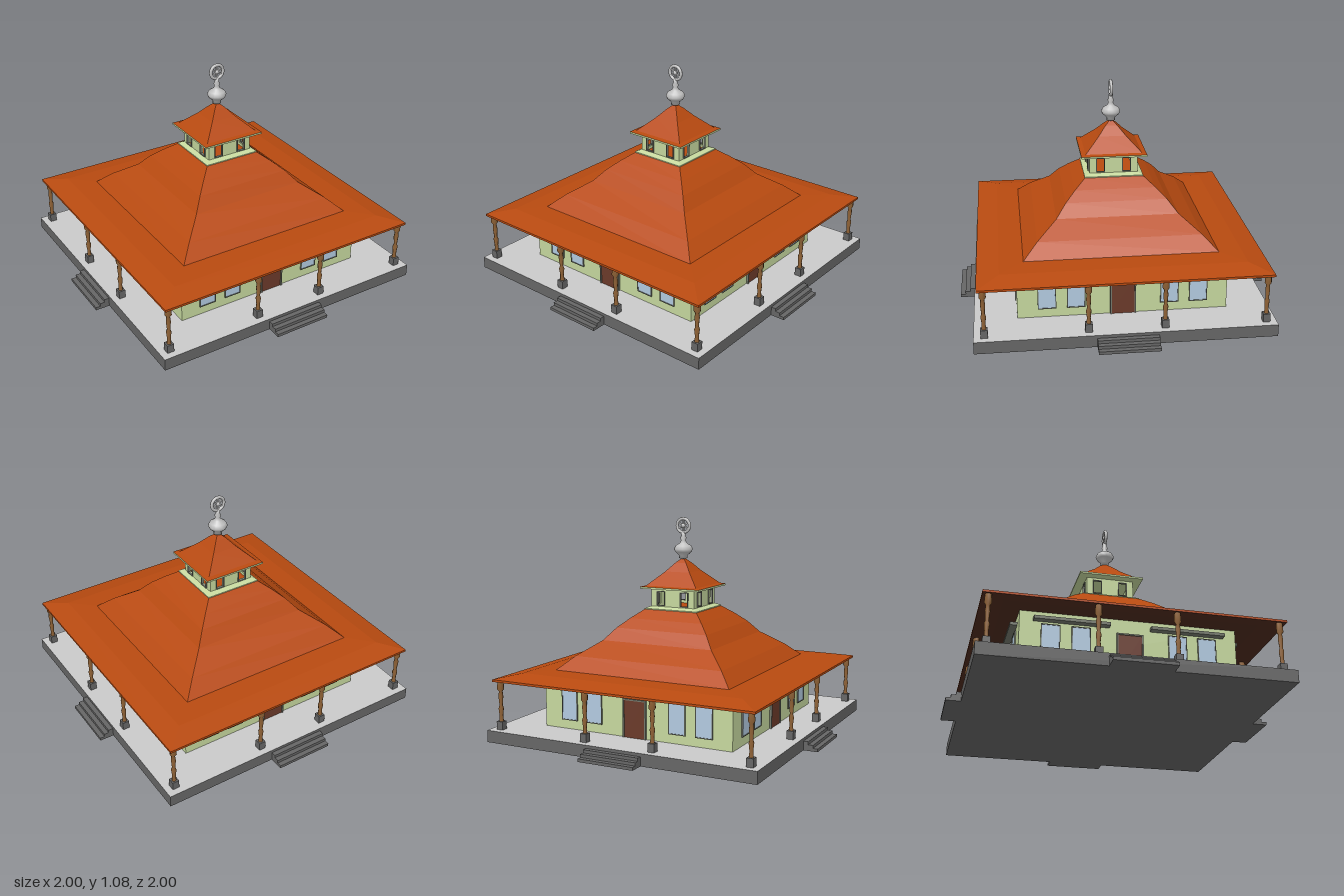
import * as THREE from 'three';

const mat = (name, color) => {
  const m = new THREE.MeshStandardMaterial({ color });
  m.name = name;
  return m;
};

export function createModel() {
  const tile = mat('roof tile', 0xb84a10);
  const wall = mat('green plaster', 0xc6d89e);
  const doorWood = mat('door wood', 0x6b3a2a);
  const lining = mat('eave lining', 0x4e2a1e);
  const glass = mat('window glass', 0xb2cae0);
  const wood = mat('post wood', 0x8f6236);
  const stone = mat('dark stone', 0x666666);
  const floor = mat('floor slab', 0xcacaca);
  const silver = mat('silver', 0xc0c0c0);
  const frame = mat('frame grey', 0x74786c);

  const model = new THREE.Group();
  model.name = 'pavilion';
  const house = new THREE.Group();
  house.name = 'house';
  house.rotation.y = -0.6435;
  model.add(house);

  const add = (parent, name, geo, material, x = 0, y = 0, z = 0) => {
    const m = new THREE.Mesh(geo, material);
    m.name = name;
    m.position.set(x, y, z);
    parent.add(m);
    return m;
  };
  const box = (parent, name, w, h, d, material, x, y, z) =>
    add(parent, name, new THREE.BoxGeometry(w, h, d), material, x, y, z);

  // Square, flat-faced shell from [half width, height] pairs
  const squareShell = (profile) => {
    const pts = profile.map(([r, y]) => new THREE.Vector2(r * Math.SQRT2, y));
    const g = new THREE.LatheGeometry(pts, 4, Math.PI / 4).toNonIndexed();
    g.computeVertexNormals();
    return g;
  };
  const lathe = (profile, n) =>
    new THREE.LatheGeometry(profile.map(([r, y]) => new THREE.Vector2(r, y)), n);

  // Platform and building core
  add(house, 'platform', new THREE.BoxGeometry(1.428, 0.06, 1.428),
    [stone, stone, floor, stone, stone, stone], 0, 0.03, 0);
  box(house, 'mainWalls', 1.014, 0.262, 1.014, wall, 0, 0.191, 0);

  // Sweeping main roof with a wide, shallow eave
  add(house, 'mainRoof', squareShell([
    [0.692, 0.3], [0.692, 0.311], [0.585, 0.334], [0.47, 0.338], [0.4, 0.403],
    [0.3, 0.475], [0.25, 0.535], [0.2, 0.58], [0.145, 0.623], [0.1, 0.63], [0, 0.63],
  ]), tile);
  add(house, 'eaveLining', squareShell([[0.48, 0.319], [0.59, 0.319], [0.692, 0.3]]), lining);

  // Turned veranda post on a stone block
  const postProfile = [
    [0.011, 0.1], [0.009, 0.13], [0.013, 0.165], [0.008, 0.18], [0.012, 0.225],
    [0.009, 0.25], [0.017, 0.262], [0.015, 0.3], [0.013, 0.312],
  ];
  const postGeo = lathe(postProfile, 8);
  const addPost = (parent, x, z) => {
    const post = new THREE.Group();
    post.name = 'verandaPost';
    post.position.set(x, 0, z);
    parent.add(post);
    box(post, 'postBase', 0.034, 0.042, 0.034, stone, 0, 0.08, 0);
    add(post, 'postShaft', postGeo, wood);
  };

  // Lantern wall with two openings
  const lanternShape = new THREE.Shape();
  lanternShape.moveTo(-0.12, 0.61).lineTo(0.12, 0.61).lineTo(0.12, 0.732).lineTo(-0.12, 0.732);
  for (const s of [-1, 1]) {
    const hole = new THREE.Path();
    const a = s * 0.065 - 0.022, b = s * 0.065 + 0.022;
    hole.moveTo(a, 0.642).lineTo(a, 0.715).lineTo(b, 0.715).lineTo(b, 0.642);
    lanternShape.holes.push(hole);
  }
  const lanternGeo = new THREE.ExtrudeGeometry(lanternShape, { depth: 0.012, bevelEnabled: false });

  const addFrame = (parent, name, x, y, z, w, h, t) => {
    for (const s of [-1, 1]) {
      box(parent, name, t, h, 0.012, frame, x + s * (w + t) / 2, y, z);
      box(parent, name, w + 2 * t, t, 0.012, frame, x, y + s * (h + t) / 2, z);
    }
  };

  // Four identical sides
  for (let k = 0; k < 4; k++) {
    const side = new THREE.Group();
    side.name = 'side';
    side.rotation.y = k * Math.PI / 2;
    house.add(side);

    for (let i = 0; i < 3; i++) {
      const d = 0.024 * (3 - i);
      box(side, 'step', 0.29, 0.015, d, stone, 0, 0.0075 + 0.015 * i, 0.714 + d / 2);
    }

    box(side, 'door', 0.11, 0.182, 0.008, doorWood, 0, 0.151, 0.509);
    for (const s of [-1, 1])
      box(side, 'doorJamb', 0.007, 0.188, 0.014, frame, s * 0.0585, 0.154, 0.511);
    box(side, 'doorHead', 0.124, 0.007, 0.014, frame, 0, 0.2455, 0.511);

    for (const s of [-1, 1]) {
      for (const x of [0.225, 0.365]) {
        box(side, 'windowPane', 0.08, 0.15, 0.008, glass, s * x, 0.183, 0.507);
        addFrame(side, 'windowFrame', s * x, 0.183, 0.508, 0.08, 0.15, 0.004);
      }
      box(side, 'windowHood', 0.35, 0.015, 0.035, frame, s * 0.27, 0.28, 0.523);
      addFrame(side, 'lanternFrame', s * 0.065, 0.6785, 0.12, 0.038, 0.067, 0.004);
    }
    add(side, 'lanternWall', lanternGeo, wall, 0, 0, 0.108);

    addPost(side, -0.664, 0.664);
    addPost(side, -0.18, 0.664);
    addPost(side, 0.18, 0.664);
  }

  // Lantern skirt, eave and roof
  add(house, 'lanternSkirt', squareShell([[0.146, 0.618], [0.146, 0.627], [0.119, 0.638]]), wall);
  box(house, 'lanternEave', 0.326, 0.009, 0.326, wall, 0, 0.7325, 0);
  add(house, 'lanternRoof', squareShell([
    [0.163, 0.737], [0.14, 0.742], [0.068, 0.81], [0.03, 0.853], [0, 0.88],
  ]), tile);

  // Finial: bulb, stem and spoked ring
  add(house, 'finialBulb', lathe([
    [0, 0.868], [0.022, 0.876], [0.02, 0.888], [0.042, 0.908], [0.048, 0.922], [0.04, 0.938],
    [0.018, 0.952], [0.012, 0.965], [0.016, 0.978], [0.01, 0.99], [0.012, 1.006], [0, 1.006],
  ], 16), silver);
  const wheel = new THREE.Group();
  wheel.name = 'finialWheel';
  wheel.position.y = 1.04;
  wheel.rotation.y = Math.PI / 2;
  house.add(wheel);
  add(wheel, 'wheelRim', new THREE.TorusGeometry(0.035, 0.008, 8, 24), silver);
  for (let i = 0; i < 3; i++)
    box(wheel, 'wheelSpoke', 0.007, 0.066, 0.008, silver, 0, 0, 0).rotation.z = i * Math.PI / 3;
  add(wheel, 'wheelHub', new THREE.SphereGeometry(0.012, 10, 8), silver);

  return model;
}
